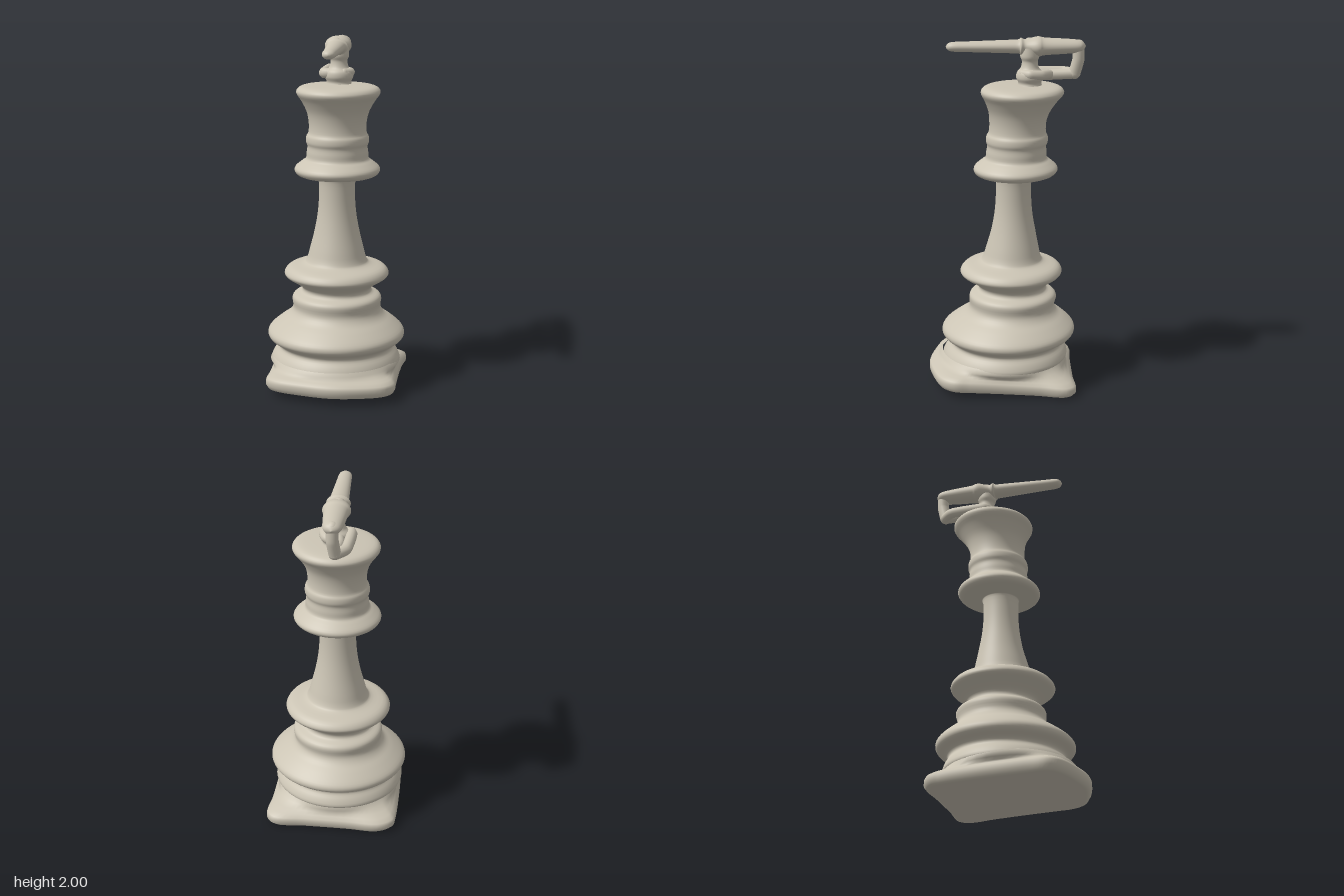
import * as THREE from 'three';
import { mergeVertices } from 'three/addons/utils/BufferGeometryUtils.js';

const ivory = new THREE.MeshStandardMaterial({ color: 0xcbc4b4 });
ivory.name = 'warm ivory';

const V = (x, y, z) => new THREE.Vector3(x, y, z);

function part(name, geometry, parent) {
  const mesh = new THREE.Mesh(geometry, ivory);
  mesh.name = name;
  parent.add(mesh);
  return mesh;
}

// Interpolates [y, value] pairs
function ramp(table, y) {
  for (let i = 1; i < table.length; i++) {
    const [y0, a] = table[i - 1], [y1, b] = table[i];
    if (y <= y1) return a + (b - a) * Math.max(0, (y - y0) / (y1 - y0));
  }
  return table[table.length - 1][1];
}

// Turned body that drifts backwards as it rises
function bodyGeometry() {
  const profile = [
    [0.35, 0.12], [0.375, 0.15], [0.36, 0.19], [0.335, 0.225], [0.345, 0.25], [0.385, 0.275], [0.398, 0.3],
    [0.385, 0.33], [0.33, 0.375], [0.28, 0.41], [0.255, 0.45], [0.26, 0.5], [0.245, 0.525], [0.205, 0.545],
    [0.205, 0.575], [0.25, 0.61], [0.295, 0.64], [0.3, 0.665], [0.27, 0.695], [0.195, 0.715], [0.172, 0.74],
    [0.155, 0.8], [0.13, 0.9], [0.112, 1.0], [0.104, 1.1], [0.106, 1.2], [0.125, 1.215], [0.215, 1.228],
    [0.243, 1.25], [0.24, 1.275], [0.205, 1.305], [0.18, 1.325], [0.176, 1.36], [0.172, 1.395], [0.18, 1.42],
    [0.178, 1.45], [0.166, 1.475], [0.165, 1.53], [0.178, 1.59], [0.21, 1.65], [0.238, 1.69],
    [0.234, 1.715], [0.2, 1.733], [0.1, 1.74], [0.0, 1.742],
  ].map(([r, y]) => new THREE.Vector2(r, y));
  const points = new THREE.SplineCurve(profile).getPoints(150);
  points.forEach((p) => { p.x = Math.max(p.x, 0); });
  const geometry = new THREE.LatheGeometry(points, 64);
  const drift = [[0.1, 0.01], [0.3, -0.016], [0.5, -0.043], [0.65, -0.032], [0.9, -0.045], [1.2, -0.046],
    [1.26, -0.058], [1.45, -0.065], [1.55, -0.07], [1.7, -0.095]];
  const pos = geometry.attributes.position;
  for (let i = 0; i < pos.count; i++) {
    pos.setZ(i, pos.getZ(i) * 0.97 + ramp(drift, pos.getY(i)));
  }
  return geometry;
}

// Rounded square foot, tilted up at the front, blending into the round body
function plinthGeometry() {
  const outline = new THREE.CatmullRomCurve3([
    [0.372, 0], [0.378, 0.2], [0.378, 0.29], [0.33, 0.362], [0.17, 0.425], [0.04, 0.445], [-0.1, 0.428],
    [-0.29, 0.375], [-0.35, 0.32], [-0.36, 0.2], [-0.372, 0], [-0.375, -0.27], [-0.365, -0.33],
    [-0.29, -0.382], [-0.1, -0.385], [0.15, -0.392], [0.33, -0.4], [0.378, -0.35], [0.372, -0.2],
  ].map(([x, z]) => V(x, 0, z)), true);
  // [y, tilt, scale, blend towards circle]
  const rings = [
    [0.024, 0.05, 0, 0], [0.024, 0.05, 0.6, 0], [0.024, 0.05, 0.93, 0], [0.03, 0.05, 0.97, 0],
    [0.05, 0.06, 1, 0], [0.075, 0.06, 1, 0], [0.09, 0.06, 0.985, 0], [0.105, 0.06, 0.95, 0.1],
    [0.115, 0.05, 0.95, 0.4], [0.13, 0.04, 0.97, 0.75], [0.15, 0.02, 1, 1], [0.17, 0.02, 0.96, 1],
  ];
  const sides = 96, positions = [], index = [];
  rings.forEach(([y, tilt, scale, blend], i) => {
    for (let j = 0; j < sides; j++) {
      const p = outline.getPoint(j / sides);
      const a = Math.atan2(p.z, p.x);
      const x = THREE.MathUtils.lerp(p.x, Math.cos(a) * 0.378, blend) * scale;
      const z = THREE.MathUtils.lerp(p.z, Math.sin(a) * 0.37 + 0.015, blend) * scale;
      positions.push(x, y + tilt * z, z);
      if (i === rings.length - 1) continue;
      const k = (j + 1) % sides, lo = i * sides, hi = lo + sides;
      index.push(lo + j, hi + j, lo + k, lo + k, hi + j, hi + k);
    }
  });
  let geometry = new THREE.BufferGeometry();
  geometry.setAttribute('position', new THREE.Float32BufferAttribute(positions, 3));
  geometry.setIndex(index);
  geometry = mergeVertices(geometry);
  geometry.computeVertexNormals();
  return geometry;
}

// Rod turned around z: stations of [z, radius], from front to back
function rodGeometry(stations) {
  const curve = new THREE.SplineCurve(stations.map(([z, r]) => new THREE.Vector2(r, -z)));
  const points = curve.getPoints(stations.length * 5);
  points.forEach((p) => { p.x = Math.max(p.x, 0); });
  const geometry = new THREE.LatheGeometry(points, 28);
  geometry.rotateX(-Math.PI / 2);
  return geometry;
}

// Rounded bar along a path, with ball ends
function bar(name, path, radius, parent) {
  const group = new THREE.Group();
  group.name = name;
  const curve = new THREE.CatmullRomCurve3(path, false, 'catmullrom', 0.3);
  part(name + 'Tube', new THREE.TubeGeometry(curve, 32, radius, 14), group);
  [path[0], path[path.length - 1]].forEach((p, i) => {
    part(name + 'End' + i, new THREE.SphereGeometry(radius, 16, 12), group).position.copy(p);
  });
  parent.add(group);
  return group;
}

export function createModel() {
  const model = new THREE.Group();
  model.name = 'chessPiece';
  part('plinth', plinthGeometry(), model);
  part('body', bodyGeometry(), model);

  // Finial: a long rod on a post with a looped handle behind it
  const finial = new THREE.Group();
  finial.name = 'finial';
  model.add(finial);

  const rod = part('rod', rodGeometry([
    [0.33, 0], [0.322, 0.02], [0.295, 0.036], [0.2, 0.041], [0.0, 0.05], [-0.07, 0.054], [-0.085, 0.066],
    [-0.105, 0.056], [-0.13, 0.06], [-0.165, 0.074], [-0.19, 0.076], [-0.22, 0.067], [-0.32, 0.059],
    [-0.4, 0.05], [-0.43, 0.034], [-0.447, 0],
  ]), finial);
  rod.scale.y = 0.72;
  rod.rotation.y = 0.045;
  rod.position.set(-0.006, 1.952, 0);

  const boss = part('topBoss', new THREE.SphereGeometry(0.036, 20, 14), finial);
  boss.position.set(-0.02, 1.965, -0.135);

  // Post with a flared foot
  const post = part('post', new THREE.LatheGeometry(new THREE.SplineCurve([
    [0.085, 1.72], [0.07, 1.75], [0.082, 1.78], [0.078, 1.81], [0.056, 1.835], [0.048, 1.87],
    [0.058, 1.9], [0.055, 1.95],
  ].map(([r, y]) => new THREE.Vector2(r, y))).getPoints(40), 28), finial);
  post.scale.z = 0.92;
  post.position.set(-0.003, 0, -0.135);

  // Handle loop
  bar('handleBack', [V(-0.025, 1.955, -0.405), V(-0.025, 1.88, -0.405), V(-0.035, 1.8, -0.385)], 0.034, finial);
  bar('handleLower', [V(-0.02, 1.79, -0.14), V(-0.04, 1.79, -0.25), V(-0.035, 1.798, -0.385)], 0.03, finial);
  bar('leftGrip', [V(-0.05, 1.8, -0.11), V(-0.088, 1.8, -0.13), V(-0.086, 1.8, -0.32), V(-0.045, 1.798, -0.38)],
    0.03, finial);
  bar('rightGrip', [V(0.03, 1.805, -0.1), V(0.06, 1.805, -0.14), V(0.04, 1.8, -0.2), V(-0.02, 1.795, -0.24)],
    0.027, finial);

  return model;
}
